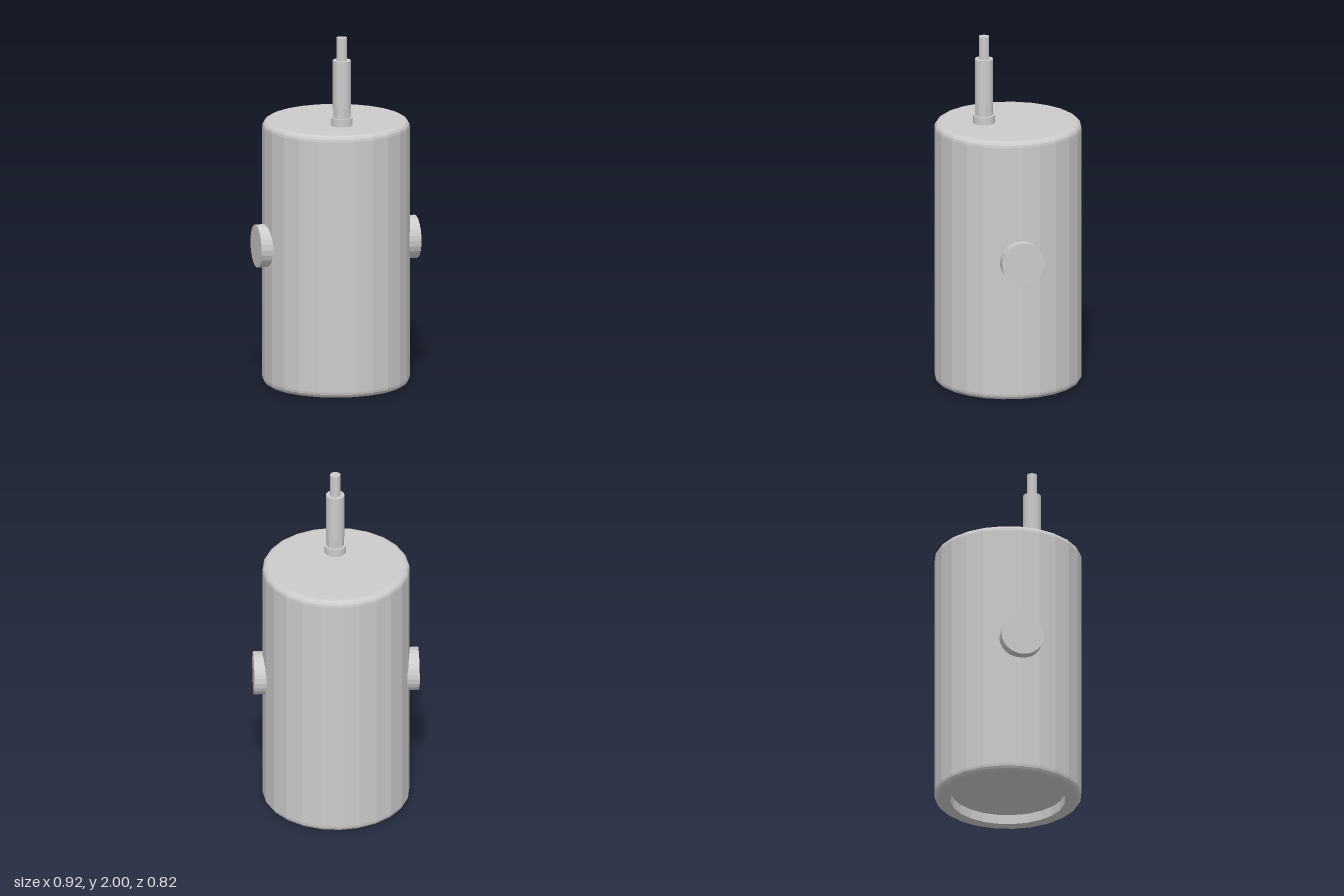
import * as THREE from 'three';

const material = new THREE.MeshStandardMaterial({ color: 0xcccccc, flatShading: true });

function addMesh(group, name, geometry, x = 0, y = 0, z = 0) {
  const mesh = new THREE.Mesh(geometry, material);
  mesh.name = name;
  mesh.position.set(x, y, z);
  group.add(mesh);
  return mesh;
}

// Closed lathe from [radius, height] pairs listed bottom to top
function lathe(points, sides) {
  return new THREE.LatheGeometry(points.map(([r, y]) => new THREE.Vector2(r, y)), sides);
}

// Quarter-round edge between two angles
function fillet(cx, cy, r, from, to, steps = 4) {
  return Array.from({ length: steps + 1 }, (_, i) => {
    const a = from + (to - from) * i / steps;
    return [cx + r * Math.cos(a), cy + r * Math.sin(a)];
  });
}

export function createModel() {
  const model = new THREE.Group();
  model.name = 'canister';

  // Body with rounded rims and a shallow recess underneath
  const R = 0.41, H = 1.5, edge = 0.035, recessR = 0.32, recessDepth = 0.055;
  addMesh(model, 'body', lathe([
    [0, recessDepth], [recessR, recessDepth], [recessR, 0],
    ...fillet(R - edge, edge, edge, -Math.PI / 2, 0),
    ...fillet(R - edge, H - edge, edge, 0, Math.PI / 2),
    [0, H],
  ], 24));

  // Round side pegs, sunk into the body
  for (const [name, side] of [['leftPeg', 1], ['rightPeg', -1]]) {
    const peg = addMesh(model, name, new THREE.CylinderGeometry(0.12, 0.12, 0.12, 24), side * 0.4, 0.805, 0);
    peg.rotation.z = -side * Math.PI / 2;
  }

  // Stepped rod on the top, toward the front
  const rod = new THREE.Group();
  rod.name = 'rod';
  rod.position.set(-0.003, 0, 0.135);
  model.add(rod);
  const steps = [
    ['rodCollar', 0.061, 1.48, 1.545, 24],
    ['rodNeck', 0.05, 1.545, 1.6, 8],
    ['rodShaft', 0.051, 1.6, 1.87, 24],
    ['rodTip', 0.029, 1.87, 2, 24],
  ];
  for (const [name, r, y0, y1, sides] of steps) {
    addMesh(rod, name, new THREE.CylinderGeometry(r, r, y1 - y0, sides), 0, (y0 + y1) / 2, 0);
  }
  return model;
}
